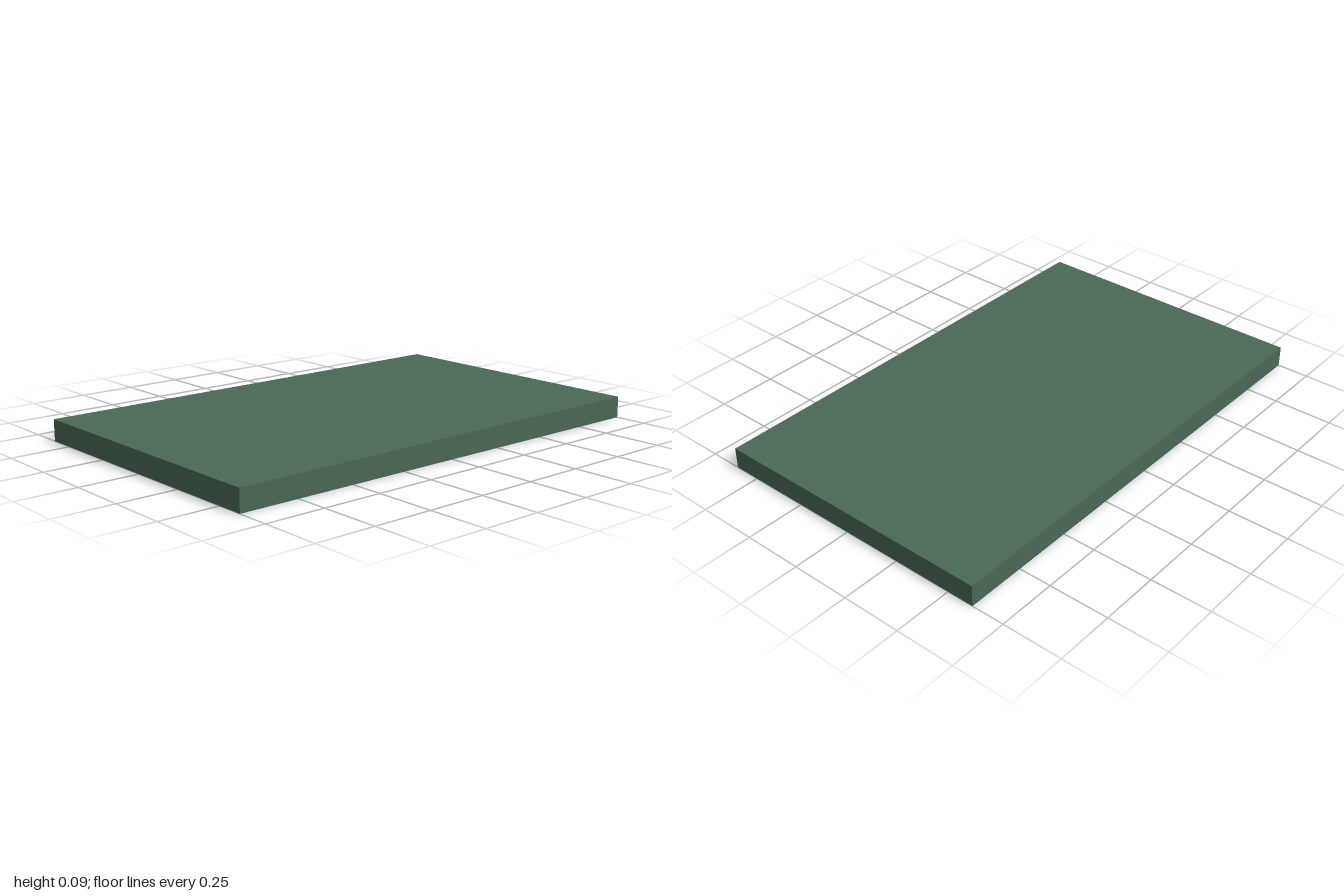
import * as THREE from 'three';

const W = 1.226, L = 2, H = 0.09;   // slab size
const PITCH = 0.38, OPEN = 0.30;    // coffer spacing and opening
const DEPTH = 0.04;                 // coffer depth

function rect(PathType, w, l, x = 0, z = 0) {
  return new PathType([
    new THREE.Vector2(x - w / 2, z - l / 2),
    new THREE.Vector2(x + w / 2, z - l / 2),
    new THREE.Vector2(x + w / 2, z + l / 2),
    new THREE.Vector2(x - w / 2, z + l / 2),
  ]);
}

// Extrude a flat outline upwards between two heights
function plate(shape, y0, y1) {
  const g = new THREE.ExtrudeGeometry(shape, { depth: y1 - y0, bevelEnabled: false });
  g.rotateX(-Math.PI / 2);
  g.translate(0, y0, 0);
  return g;
}

function squareFrame(outer, inner, y0, y1) {
  const s = rect(THREE.Shape, outer, outer);
  s.holes.push(rect(THREE.Path, inner, inner));
  return plate(s, y0, y1);
}

export function createModel() {
  const green = new THREE.MeshStandardMaterial({ color: 0x4a6855 });
  green.name = 'mutedGreen';
  const red = new THREE.MeshStandardMaterial({ color: 0x6e2622 });
  red.name = 'darkRed';

  const model = new THREE.Group();
  model.name = 'cofferedCeiling';
  const add = (geometry, material, name, parent = model) => {
    const mesh = new THREE.Mesh(geometry, material);
    mesh.name = name;
    parent.add(mesh);
    return mesh;
  };

  // Coffer centres, 3 across and 5 along
  const centres = [];
  for (let i = -1; i <= 1; i++)
    for (let j = -2; j <= 2; j++) centres.push([i * PITCH, j * PITCH]);

  // Solid slab; its underside forms the panels at the back of the coffers
  const slab = new THREE.BoxGeometry(W, H - DEPTH, L);
  slab.translate(0, (H + DEPTH) / 2, 0);
  add(slab, green, 'slab');

  // Grid of beams below the slab
  const grid = rect(THREE.Shape, W, L);
  centres.forEach(([x, z]) => grid.holes.push(rect(THREE.Path, OPEN, OPEN, x, z)));
  add(plate(grid, 0, DEPTH), green, 'beamGrid');

  // Stepped red moulding inside each coffer
  const outerStep = squareFrame(OPEN, 0.24, 0.02, DEPTH);
  const innerStep = squareFrame(0.24, 0.21, 0.03, DEPTH);
  centres.forEach(([x, z]) => {
    const coffer = new THREE.Group();
    coffer.name = 'cofferMoulding';
    coffer.position.set(x, 0, z);
    add(outerStep, red, 'outerStep', coffer);
    add(innerStep, red, 'innerStep', coffer);
    model.add(coffer);
  });

  return model;
}
